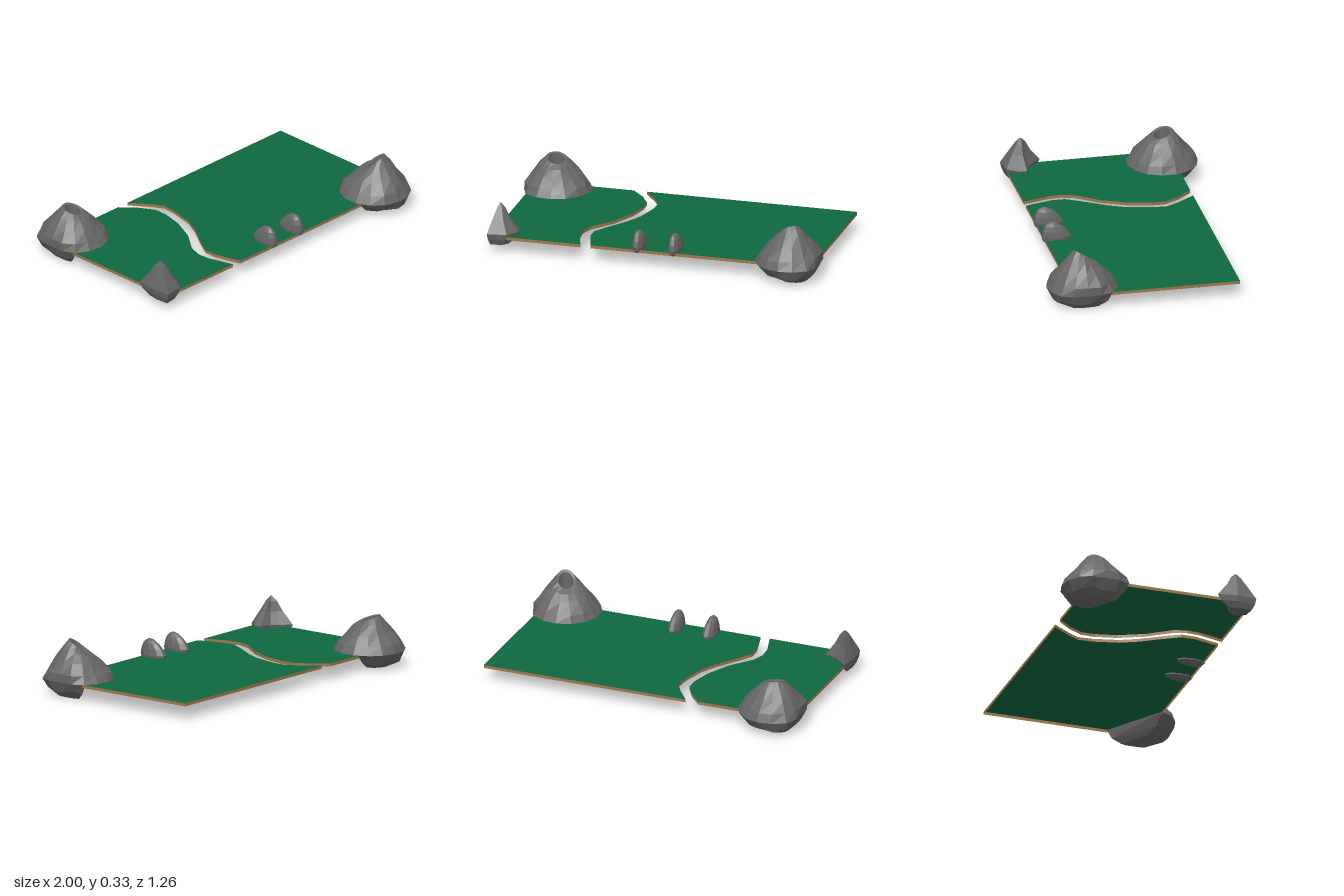
import * as THREE from 'three';

const TOP = 0.1, UNDER = 0.082;

// Skin a stack of equal-length rings (bottom to top), with optional flat caps
function loft(rings, capStart, capEnd) {
  const pos = [];
  const tri = (...p) => p.forEach(v => pos.push(...v));
  const n = rings[0].length;
  for (let k = 0; k < rings.length - 1; k++) {
    for (let i = 0; i < n; i++) {
      const j = (i + 1) % n;
      const a = rings[k][i], b = rings[k][j], c = rings[k + 1][j], d = rings[k + 1][i];
      tri(a, d, b);
      tri(b, d, c);
    }
  }
  const cap = (ring, up) => {
    const c = [0, 1, 2].map(q => ring.reduce((s, p) => s + p[q], 0) / n);
    for (let i = 0; i < n; i++) {
      const j = (i + 1) % n;
      if (up) tri(c, ring[j], ring[i]);
      else tri(c, ring[i], ring[j]);
    }
  };
  if (capStart) cap(rings[0], false);
  if (capEnd) cap(rings[rings.length - 1], true);
  const g = new THREE.BufferGeometry();
  g.setAttribute('position', new THREE.Float32BufferAttribute(pos, 3));
  g.computeVertexNormals();
  return g;
}

export function createModel() {
  const model = new THREE.Group();
  const green = new THREE.MeshStandardMaterial({ color: 0x0e673f, side: THREE.DoubleSide });
  green.name = 'grass green';
  const brown = new THREE.MeshStandardMaterial({ color: 0xa0764c, side: THREE.DoubleSide });
  brown.name = 'earth brown';
  const grey = new THREE.MeshStandardMaterial({ color: 0x666666, flatShading: true, side: THREE.DoubleSide });
  grey.name = 'rock grey';

  const add = (parent, name, geo, mat) => {
    const m = new THREE.Mesh(geo, mat);
    m.name = name;
    parent.add(m);
    return m;
  };

  // Two land sheets separated by a winding river gap, as [x, z] outlines
  const leftBank = [[-0.38, -0.49], [-0.3, -0.4], [-0.25, -0.31], [-0.25, -0.23], [-0.28, -0.1],
    [-0.35, 0.05], [-0.45, 0.18], [-0.475, 0.26], [-0.47, 0.34], [-0.425, 0.49]];
  const rightBank = [[-0.3, -0.49], [-0.22, -0.38], [-0.18, -0.31], [-0.185, -0.22], [-0.22, -0.07],
    [-0.27, 0.03], [-0.35, 0.15], [-0.41, 0.25], [-0.41, 0.33], [-0.365, 0.49]];
  const lands = {
    westLand: [...leftBank, [-0.97, 0.49], [-0.97, -0.49]],
    eastLand: [...rightBank, [0.97, 0.49], [0.97, -0.49]],
  };
  for (const [name, outline] of Object.entries(lands)) {
    const land = new THREE.Group();
    land.name = name;
    const shape = new THREE.Shape(outline.map(([x, z]) => new THREE.Vector2(x, -z)));
    const sheet = new THREE.ShapeGeometry(shape).rotateX(-Math.PI / 2).translate(0, TOP, 0);
    add(land, 'grassSheet', sheet, green);
    const rim = [UNDER, TOP].map(y => outline.map(([x, z]) => [x, y, z]));
    const wall = loft(rim);
    // Keep the wall normals facing away from the land
    if (THREE.ShapeUtils.isClockWise(shape.getPoints())) add(land, 'earthEdge', wall, brown);
    else add(land, 'earthEdge', loft(rim.map(r => r.slice().reverse())), brown);
    model.add(land);
  }

  // Crater mountain on the +x +z corner: [radius, height, rim tilt] per ring
  function mountain(name, rows, capPit, phase) {
    const g = new THREE.Group();
    g.name = name;
    const n = 15;
    const rings = rows.map(([r, y, tilt], k) => Array.from({ length: n }, (_, i) => {
      const a = (i / n) * Math.PI * 2;
      const wobble = k > 0 && k < 4 ? 1 + 0.04 * Math.sin(a * 3 + k * 2 + phase) : 1;
      return [Math.min(1, 0.828 + Math.cos(a) * r * wobble),
        y + tilt * (Math.sin(a) * 0.85 + Math.cos(a) * 0.5),
        0.42 + Math.sin(a) * r * wobble];
    }));
    add(g, 'craterCone', loft(rings, false, capPit), grey);

    // Foot hanging over the corner, cut off diagonally beneath the land
    const arc = Array.from({ length: 10 }, (_, i) => {
      const a = THREE.MathUtils.degToRad(-46 + i * 23);
      return [Math.min(1, 0.828 + Math.cos(a) * 0.21), 0.42 + Math.sin(a) * 0.21];
    });
    const level = (y, sx, sz, cz) => arc.map(([x, z], i) =>
      [0.88 + (x - 0.88) * sx, y + (y > 0.01 && y < 0.09 ? 0.008 * Math.sin(i * 2 + phase) : 0), cz + (z - cz) * sz]);
    add(g, 'craterFoot', loft([level(0, 0.45, 0.5, 0.41), level(0.04, 0.76, 0.85, 0.42),
      level(TOP - 0.0005, 1, 1, 0.42)], true, false), grey);
    model.add(g);
    return g;
  }
  mountain('frontMountain', [[0.21, 0.1, 0], [0.185, 0.148, 0.004], [0.135, 0.21, 0.012], [0.09, 0.26, 0.026],
    [0.055, 0.292, 0.04], [0.042, 0.285, 0.035], [0.034, 0.2, 0]], true, 0);
  mountain('backMountain', [[0.21, 0.1, 0], [0.185, 0.148, 0.003], [0.14, 0.2, 0.006], [0.095, 0.252, 0.012],
    [0.062, 0.282, 0.019], [0.047, 0.277, 0.018], [0.04, 0.1, 0]], false, 1.5).rotation.y = Math.PI;

  // Jagged peak on the front right corner
  const footprint = [[-0.82, 0.385], [-0.82, 0.43], [-0.87, 0.495], [-0.985, 0.51], [-0.995, 0.39],
    [-0.98, 0.275], [-0.93, 0.325], [-0.885, 0.365]];
  const peakRing = (y, s, cx, cz) => footprint.map(([x, z]) => [cx + (x - cx) * s, y, cz + (z - cz) * s]);
  add(model, 'jaggedPeak', loft([peakRing(0.045, 0.6, -0.95, 0.45), peakRing(0.08, 0.9, -0.95, 0.44),
    peakRing(0.115, 1, -0.94, 0.4), peakRing(0.19, 0.55, -0.94, 0.41), peakRing(0.25, 0.26, -0.935, 0.4),
    peakRing(0.277, 0.05, -0.935, 0.4)], true, true), grey);

  // Two narrow standing stones on the front edge: [height, half width, half depth, centre z]
  const stoneRows = [[0.075, 0.024, 0.055, 0.425], [0.092, 0.038, 0.085, 0.42], [0.115, 0.041, 0.09, 0.42],
    [0.15, 0.036, 0.076, 0.428], [0.18, 0.028, 0.053, 0.437], [0.198, 0.018, 0.03, 0.443], [0.206, 0.006, 0.01, 0.445]];
  for (const [name, x] of [['rightStone', -0.085], ['leftStone', 0.132]]) {
    const rings = stoneRows.map(([y, w, d, z]) => Array.from({ length: 10 }, (_, i) => {
      const a = (i / 10) * Math.PI * 2;
      return [x + Math.cos(a) * w, y, z + Math.sin(a) * d];
    }));
    add(model, name, loft(rings, true, true), grey);
  }
  return model;
}
